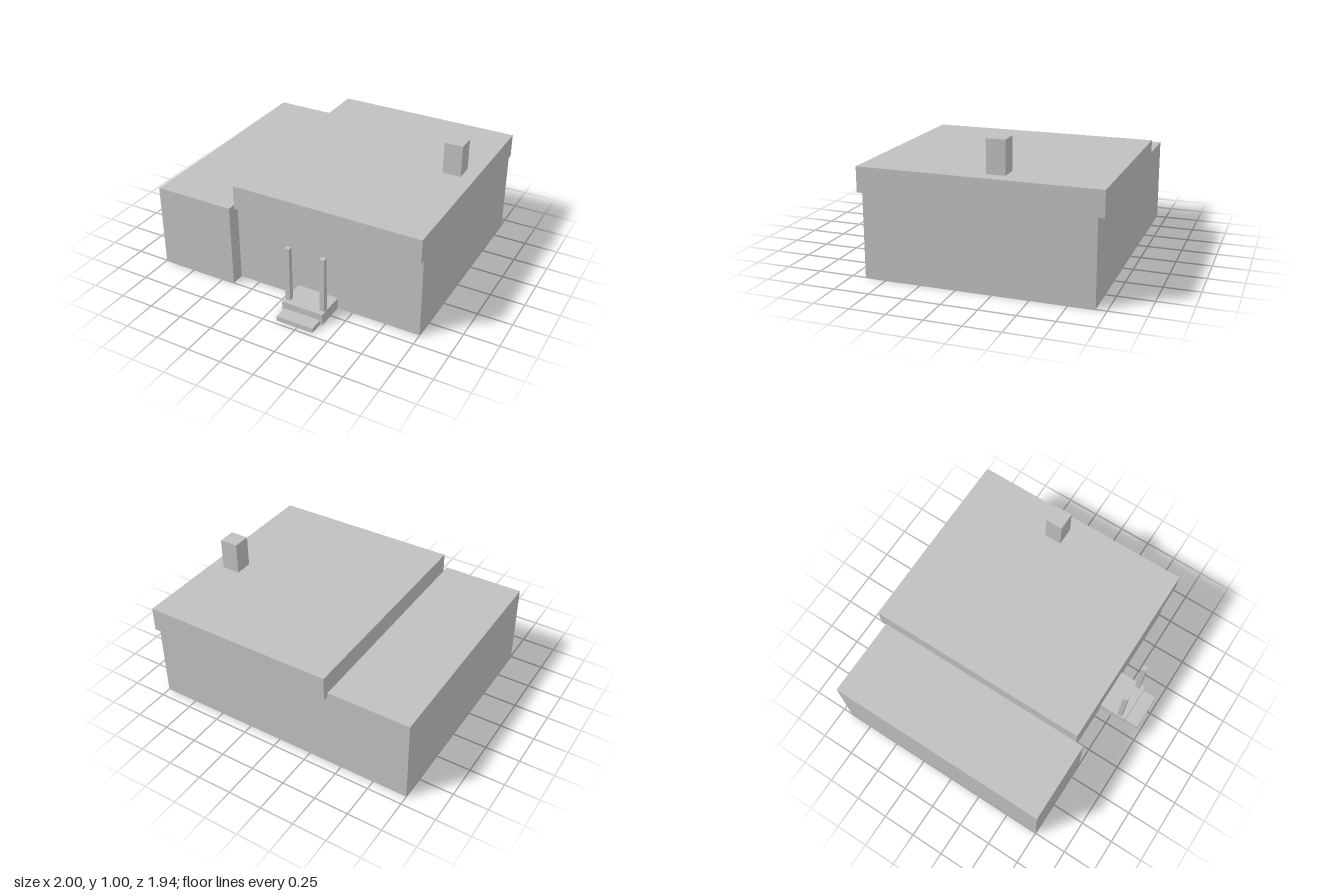
import * as THREE from 'three';

const grey = new THREE.MeshStandardMaterial({ color: 0xc0c0c0 });
grey.name = 'light grey';

// Box given by its minimum and maximum on each axis
function block(name, [x0, x1], [y0, y1], [z0, z1]) {
  const mesh = new THREE.Mesh(new THREE.BoxGeometry(x1 - x0, y1 - y0, z1 - z0), grey);
  mesh.name = name;
  mesh.position.set((x0 + x1) / 2, (y0 + y1) / 2, (z0 + z1) / 2);
  return mesh;
}

export function createModel() {
  const house = new THREE.Group();
  house.name = 'house';

  // Main volume with its overhanging flat roof, and the lower side wing
  house.add(
    block('mainWalls', [-0.403, 1], [0, 0.588], [-0.928, 0.652]),
    block('mainRoof', [-0.403, 1], [0.588, 0.765], [-0.97, 0.692]),
    block('sideWing', [-1, -0.403], [0, 0.618], [-0.928, 0.752]),
    block('chimney', [0.765, 0.9], [0.765, 0.996], [-0.305, -0.175])
  );

  // Entrance: landing, lower step and two free-standing posts
  const porch = new THREE.Group();
  porch.name = 'porch';
  porch.add(
    block('landing', [0.075, 0.387], [0, 0.085], [0.652, 0.867]),
    block('step', [0.092, 0.37], [0, 0.035], [0.867, 0.97])
  );
  for (const [name, x] of [['rightPost', 0.081], ['leftPost', 0.346]]) {
    porch.add(block(name, [x, x + 0.036], [0.085, 0.495], [0.795, 0.831]));
  }
  house.add(porch);
  return house;
}
